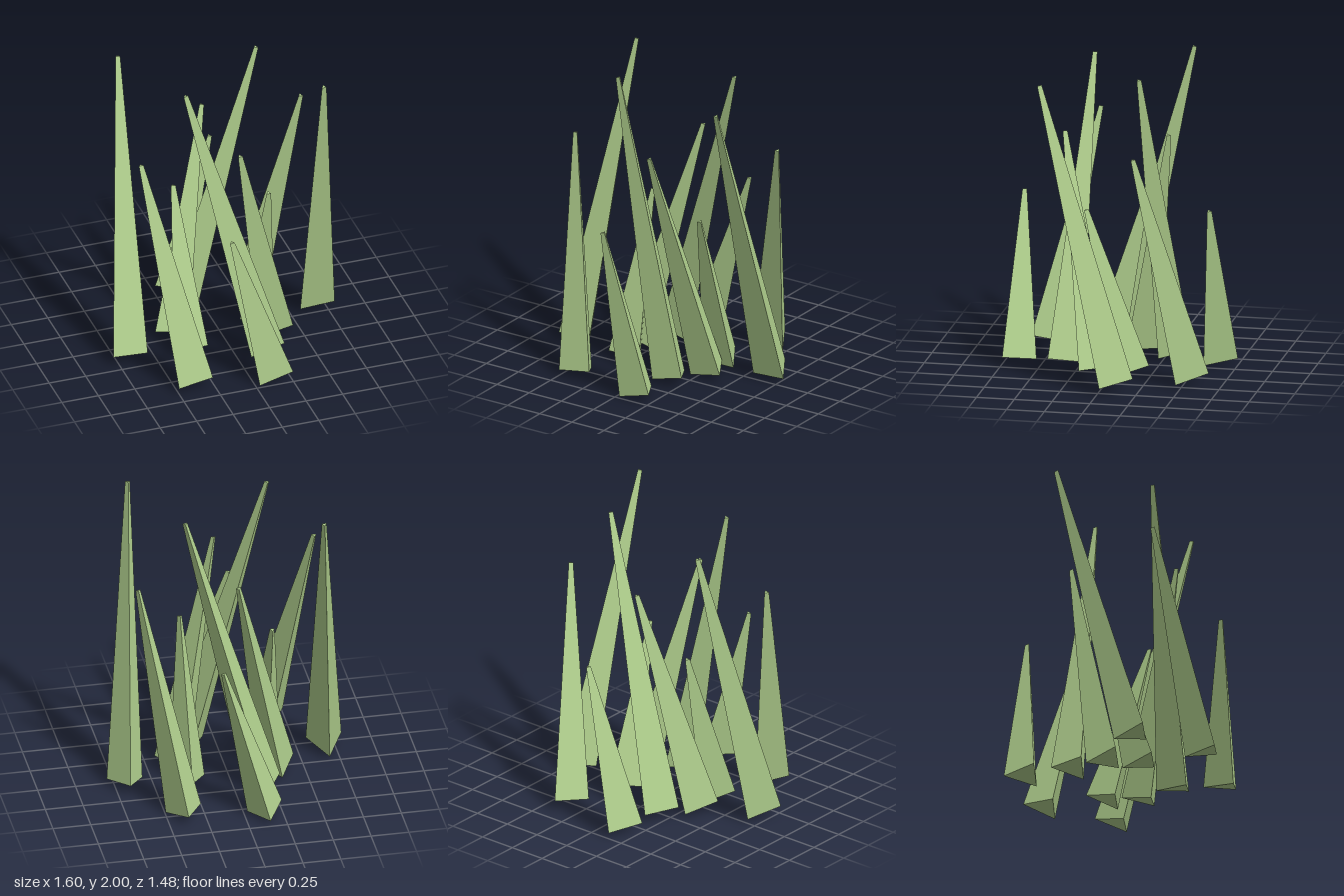
import * as THREE from 'three';

// Half of the blades: [base x, base z, tip x, tip z, base y, tip y]
const BLADES = [
  [0.68, -0.085, 0.57, 0.425, 0.055, 1.996], // tall
  [-0.188, -0.297, 0.313, -0.18, 0.055, 1.996],
  [0.382, -0.525, 0.628, -0.205, 0.045, 1.546], // medium
  [-0.325, -0.06, -0.015, -0.31, 0.045, 1.546],
  [-0.139, -0.607, 0.144, -0.61, 0.036, 1.096], // short
  [-0.275, 0.17, -0.277, -0.115, 0.036, 1.096],
];
const CENTRE_Z = 0.03;
const UP = new THREE.Vector3(0, 1, 0);

// Three-sided tapering blade leaning from its base point to its tip
function makeBlade(base, tip, material) {
  const axis = tip.clone().sub(base);
  const geometry = new THREE.CylinderGeometry(0.018, 0.136, axis.length(), 3, 1, false, Math.PI);
  const blade = new THREE.Mesh(geometry, material);
  blade.position.copy(base).add(tip).multiplyScalar(0.5);
  blade.quaternion.setFromUnitVectors(UP, axis.normalize());
  return blade;
}

export function createModel() {
  const group = new THREE.Group();
  group.name = 'grassTuft';
  const green = new THREE.MeshStandardMaterial({ color: 0xb0cf8d, flatShading: true });

  BLADES.forEach(([bx, bz, tx, tz, by, ty], i) => {
    // Each blade has a partner half a turn around the tuft
    for (const side of [1, -1]) {
      const place = (x, y, z) =>
        new THREE.Vector3(side * x, y, CENTRE_Z + side * (z - CENTRE_Z));
      const blade = makeBlade(place(bx, by, bz), place(tx, ty, tz), green);
      blade.name = `grassBlade${i * 2 + (side > 0 ? 1 : 2)}`;
      group.add(blade);
    }
  });
  return group;
}
